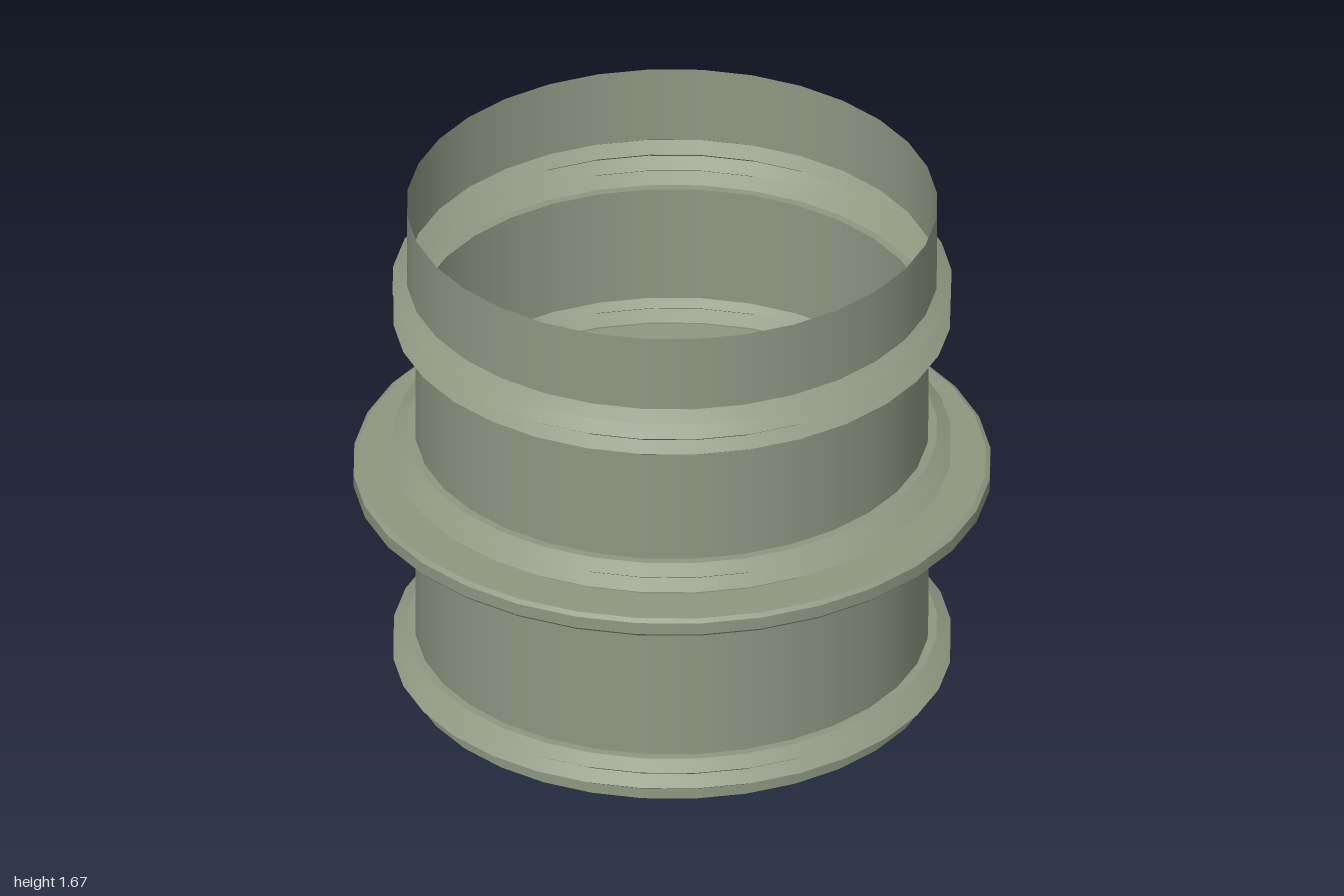
import * as THREE from 'three';
import { mergeGeometries } from 'three/addons/utils/BufferGeometryUtils.js';

const SIDES = 32;

// Thin shell revolved from [radius, height] points listed upward; each band keeps sharp edges
function shell(profile) {
  const bands = [];
  for (let i = 0; i < profile.length - 1; i++) {
    const pair = [profile[i], profile[i + 1]].map(([r, y]) => new THREE.Vector2(r, y));
    bands.push(new THREE.LatheGeometry(pair, SIDES));
  }
  return mergeGeometries(bands);
}

export function createModel() {
  const model = new THREE.Group();
  model.name = 'ribbedPipeCollar';
  const greyGreen = new THREE.MeshStandardMaterial({ color: 0x8f9782, side: THREE.DoubleSide });
  greyGreen.name = 'greyGreen';

  const WALL = 0.805; // main wall radius
  const LIP = 0.832;  // lip and rib valley radius

  const parts = {
    // Lower lip with two pointed ribs
    bottomRibs: [[LIP, 0], [LIP, 0.035], [0.875, 0.062], [LIP, 0.09], [0.875, 0.118], [LIP, 0.145], [WALL, 0.145]],
    lowerWall: [[WALL, 0.145], [WALL, 0.617]],
    // Single rib below the flange
    underFlangeRib: [[WALL, 0.617], [LIP, 0.617], [0.883, 0.648], [LIP, 0.68], [LIP, 0.685]],
    // Hollow flange with bevelled rim
    flange: [[LIP, 0.685], [0.99, 0.685], [1, 0.695], [1, 0.735], [0.985, 0.745], [LIP, 0.745]],
    // Two ribs above the flange
    overFlangeRibs: [[LIP, 0.745], [LIP, 0.75], [0.875, 0.775], [LIP, 0.802], [0.875, 0.829], [LIP, 0.856], [WALL, 0.856]],
    upperWall: [[WALL, 0.856], [WALL, 1.25]],
    // Three ribs under the upper lip
    topRibs: [[WALL, 1.25], [LIP, 1.25], [0.875, 1.276], [LIP, 1.303], [0.875, 1.331], [LIP, 1.36], [0.878, 1.387], [LIP, 1.415]],
    topLip: [[LIP, 1.415], [LIP, 1.67]],
  };

  for (const [name, profile] of Object.entries(parts)) {
    const mesh = new THREE.Mesh(shell(profile), greyGreen);
    mesh.name = name;
    model.add(mesh);
  }
  return model;
}
